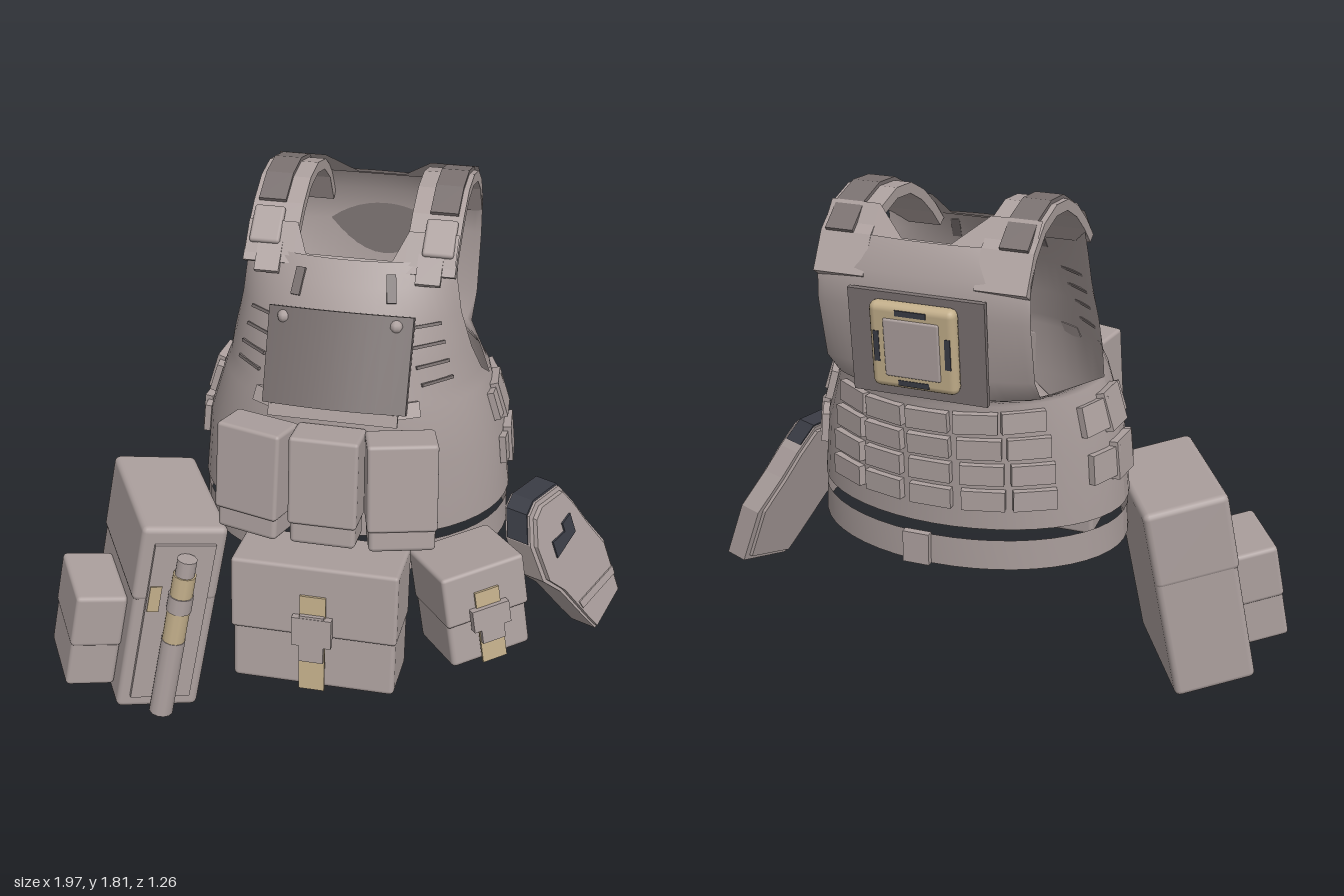
import * as THREE from 'three';
import { RoundedBoxGeometry } from 'three/addons/geometries/RoundedBoxGeometry.js';

const mat = (name, color) => Object.assign(new THREE.MeshStandardMaterial({ color }), { name });

export function createModel() {
  const fabric = mat('fabric', 0xaca09e);
  const shellFabric = mat('shellFabric', 0xa89c9a);
  shellFabric.side = THREE.DoubleSide;
  const dark = mat('darkFabric', 0x7a7170);
  const tan = mat('tanWebbing', 0xc2ae8a);
  const black = mat('blackPlastic', 0x3a3c45);
  const model = new THREE.Group();
  model.name = 'armourVest';

  const group = (parent, name, x = 0, y = 0, z = 0) => {
    const g = new THREE.Group();
    g.name = name;
    g.position.set(x, y, z);
    parent.add(g);
    return g;
  };
  const add = (parent, name, geo, m, x = 0, y = 0, z = 0) => {
    const mesh = new THREE.Mesh(geo, m);
    mesh.name = name;
    mesh.position.set(x, y, z);
    parent.add(mesh);
    return mesh;
  };
  const box = (parent, name, w, h, d, m, x, y, z) => add(parent, name, new THREE.BoxGeometry(w, h, d), m, x, y, z);
  const soft = (parent, name, w, h, d, m, x, y, z, r = 0.016) =>
    add(parent, name, new RoundedBoxGeometry(w, h, d, 2, r), m, x, y, z);

  // Cross-sections: height, half width, edge z, middle z, arc angle
  const H = Math.PI / 2;
  const front = [[0.76, 0.53, -0.12, 0.31, H], [1.0, 0.505, -0.12, 0.3, H], [1.19, 0.445, -0.12, 0.28, H],
    [1.23, 0.425, -0.07, 0.26, 1.4], [1.33, 0.395, -0.02, 0.235, 1.35], [1.46, 0.36, 0, 0.18, 1.2],
    [1.56, 0.345, 0, 0.115, 1.1], [1.63, 0.34, -0.02, 0.06, 0.9]];
  const back = [[0.76, 0.53, -0.12, -0.49, H], [1.0, 0.505, -0.12, -0.5, H], [1.19, 0.445, -0.12, -0.52, H],
    [1.22, 0.34, -0.43, -0.525, 1.0], [1.3, 0.345, -0.5, -0.55, 1.0], [1.5, 0.345, -0.545, -0.585, 0.8],
    [1.62, 0.345, -0.54, -0.575, 0.8], [1.71, 0.34, -0.47, -0.52, 0.7]];
  const rowPoint = ([y, hw, ze, zm, A], t) => new THREE.Vector3(
    hw * Math.sin(t * A) / Math.sin(A), y,
    ze + (zm - ze) * (Math.cos(t * A) - Math.cos(A)) / (1 - Math.cos(A)));
  const surf = (rows, t, y) => {
    let i = 0;
    while (i < rows.length - 2 && y > rows[i + 1][0]) i++;
    const k = (y - rows[i][0]) / (rows[i + 1][0] - rows[i][0]);
    return rowPoint(rows[i].map((v, j) => v + (rows[i + 1][j] - v) * k), t);
  };
  const loft = (lines) => {
    const n = lines[0].length, pos = [], idx = [];
    lines.forEach((l) => l.forEach((p) => pos.push(p.x, p.y, p.z)));
    for (let r = 0; r < lines.length - 1; r++) for (let c = 0; c < n - 1; c++) {
      const a = r * n + c, b = a + n;
      idx.push(a, a + 1, b, a + 1, b + 1, b);
    }
    const g = new THREE.BufferGeometry();
    g.setAttribute('position', new THREE.Float32BufferAttribute(pos, 3));
    g.setIndex(idx);
    g.computeVertexNormals();
    return g;
  };
  // Points along a row from t = a to t = b; the back runs the other way so that faces point outwards
  const arc = (row, a, b, n = 24) => Array.from({ length: n + 1 }, (_, i) => rowPoint(row, a + (b - a) * i / n));

  const vest = group(model, 'vest', 0.05);
  add(vest, 'frontPanel', loft(front.map((r) => arc(r, -1, 1))), shellFabric);
  add(vest, 'backPanel', loft(back.map((r) => arc(r, 1, -1))), shellFabric);
  // Necklines rising to the shoulders
  const collar = (name, y, z, dz, inner) => add(vest, name, loft([0, 1].map((k) =>
    [-0.34, -0.18, -inner, inner, 0.18, 0.34].map((x) => {
      const f = Math.abs(x) > inner ? k : 0.1 * k;
      return new THREE.Vector3(x, y + 0.085 * f, z + dz * f);
    }))), shellFabric);
  collar('backCollar', 1.7, -0.51, 0.08, 0.08);
  collar('frontCollar', 1.62, 0.045, -0.075, 0.14);

  // Inner side linings, meeting in a point
  const apex = new THREE.Vector3(0, 1.33, -0.12);
  for (const s of [-1, 1]) {
    const rim = [...arc(front[0], 0.19 * s, s, 10), ...arc(back[0], s, 0.19 * s, 10)];
    add(vest, 'innerLining', loft([rim, rim.map(() => apex)]), shellFabric);
  }

  // Pads laid on the shell
  const pad = (rows, t, y, w, h, d, m, name) => {
    const p = surf(rows, t, y);
    const side = surf(rows, t + 0.02, y).sub(surf(rows, t - 0.02, y));
    const up = surf(rows, t, y + 0.015).sub(surf(rows, t, y - 0.015)).normalize();
    const n = side.clone().cross(up).normalize();
    if (n.x * p.x + n.z * (p.z + 0.12) < 0) n.negate();
    // Keep the long side level
    const right = new THREE.Vector3(0, 1, 0).cross(n).normalize();
    const g = group(vest, name);
    g.setRotationFromMatrix(new THREE.Matrix4().makeBasis(right, n.clone().cross(right), n));
    g.position.copy(p);
    box(g, name, w, h, d, m, 0, 0, d / 2 - 0.004);
  };
  for (const y of [0.87, 0.96, 1.05, 1.14])
    for (const t of [-0.42, -0.21, 0, 0.21, 0.42]) pad(back, t, y, 0.14, 0.068, 0.024, fabric, 'backWebbing');
  for (const s of [-1, 1]) {
    for (const y of [0.94, 1.1]) {
      pad(front, 0.97 * s, y, 0.12, 0.1, 0.022, fabric, 'sideWebbing');
      pad(back, 0.8 * s, y, 0.13, 0.1, 0.024, fabric, 'sideWebbing');
      pad(back, 0.96 * s, y, 0.12, 0.13, 0.028, fabric, 'sideClip');
    }
    for (const y of [1.27, 1.33, 1.39, 1.45]) pad(front, 0.6 * s, y, 0.12, 0.01, 0.009, dark, 'chestSlot');
    pad(front, 0.36 * s, 1.56, 0.03, 0.09, 0.012, dark, 'chestTab');
    pad(front, 0.35 * s, 1.2, 0.08, 0.05, 0.03, fabric, 'pouchClip');
  }
  pad(front, 0, 1.19, 0.42, 0.04, 0.012, fabric, 'chestBand');

  // Dark chest flap, bent round the chest
  const flap = new THREE.BoxGeometry(0.465, 0.31, 0.03, 10, 1, 1);
  const fp = flap.attributes.position;
  for (let i = 0; i < fp.count; i++) fp.setZ(i, fp.getZ(i) - 0.9 * fp.getX(i) ** 2);
  flap.computeVertexNormals();
  add(vest, 'chestFlap', flap, dark, 0, 1.365, 0.244).rotation.x = -0.4;
  for (const s of [-1, 1]) add(vest, 'flapStud', new THREE.SphereGeometry(0.022, 8, 6), fabric, 0.18 * s, 1.47, 0.175);

  // Back patch with tan framed box
  const patch = group(vest, 'backPatch', 0, 1.4, -0.575);
  patch.rotation.set(0.08, Math.PI, 0, 'YXZ');
  box(patch, 'patchBase', 0.44, 0.34, 0.018, dark, 0, 0, 0);
  soft(patch, 'tanFrame', 0.28, 0.28, 0.05, tan, 0, 0.01, 0.026, 0.024);
  soft(patch, 'frameCentre', 0.18, 0.19, 0.016, fabric, 0, 0.01, 0.049, 0.007);
  for (const s of [-1, 1]) {
    box(patch, 'frameSlot', 0.1, 0.018, 0.006, black, 0, 0.01 + 0.115 * s, 0.05);
    box(patch, 'frameSlot', 0.018, 0.1, 0.006, black, 0.115 * s, 0.01, 0.05);
  }

  // Shoulder straps: side outline (z, y) swept over the width
  const path = [[0.06, 1.6], [-0.01, 1.67], [-0.1, 1.74], [-0.2, 1.79], [-0.31, 1.802], [-0.42, 1.775], [-0.51, 1.71], [-0.575, 1.6]];
  const band = (pts, off, th, w) => {
    const move = (k) => pts.map(([z, y]) => {
      const l = Math.hypot(z + 0.28, y - 1.4);
      return new THREE.Vector2(-z - (z + 0.28) / l * k, y + (y - 1.4) / l * k);
    });
    const g = new THREE.ExtrudeGeometry(new THREE.Shape([...move(off), ...move(off - th).reverse()]), { depth: w, bevelEnabled: false });
    return g.translate(0, 0, -w / 2).rotateY(H);
  };
  for (const s of [-1, 1]) {
    add(vest, 'shoulderStrap', band(path, 0, 0.035, 0.165), fabric, 0.26 * s);
    add(vest, 'shoulderPad', band(path.slice(2, 7), 0.012, 0.016, 0.09), dark, 0.28 * s);
    const buckle = soft(vest, 'strapBuckle', 0.1, 0.13, 0.025, fabric, 0.28 * s, 1.69, -0.025, 0.01);
    buckle.rotation.x = -0.86;
    box(vest, 'strapEnd', 0.08, 0.1, 0.02, fabric, 0.26 * s, 1.61, 0.045).rotation.x = -0.75;
  }

  // Belt
  const belt = [[0.62, 0.53, -0.12, 0.31, H], [0.725, 0.525, -0.12, 0.31, H]];
  add(vest, 'beltFront', loft(belt.map((r) => arc(r, -1, 1))), shellFabric);
  const beltBack = belt.map(([y, hw, ze]) => [y, hw, ze, -0.5, H]);
  add(vest, 'beltBack', loft(beltBack.map((r) => arc(r, 1, -1))), shellFabric);
  box(vest, 'beltBuckle', 0.09, 0.11, 0.025, fabric, 0.05, 0.675, -0.508);

  // Pouch with lid and optional tan strap; origin in the middle of the body
  const pouch = (name, x, y, z, w, h, d, lid, yaw, tilt, strap) => {
    const g = group(model, name, x, y, z);
    g.rotation.set(tilt, yaw, 0, 'YXZ');
    soft(g, 'pouchBody', w - 0.01, h, d - 0.014, fabric, 0, 0, -0.007);
    soft(g, 'pouchLid', w, lid, d, fabric, 0, (h - lid) / 2 + 0.004, 0, 0.012);
    if (strap) {
      box(g, 'tanStrap', 0.085, h * 0.78, 0.009, tan, 0, -h * 0.11, d / 2 + 0.004);
      box(g, 'strapClip', 0.13, h * 0.23, 0.025, fabric, 0, 0.0, d / 2 + 0.012);
      box(g, 'strapClip', 0.08, h * 0.38, 0.022, fabric, 0, -0.025, d / 2 + 0.012);
    }
    return g;
  };
  for (const s of [-1, 0, 1])
    pouch('magazinePouch', 0.05 + 0.238 * s, 0.975, 0.37 - 0.02 * Math.abs(s), 0.225, 0.37, 0.14, 0.3, 0.26 * s, -0.12, false);
  pouch('centrePouch', 0.052, 0.56, 0.475, 0.545, 0.44, 0.23, 0.25, 0, -0.1, true);
  pouch('sidePouch', 0.525, 0.6, 0.34, 0.29, 0.33, 0.26, 0.18, 0.6, -0.14, true).rotation.z = 0.1;

  // Large hip pouch with outer pocket and baton
  const hip = group(model, 'hipPouch', -0.61, 0.388, 0.185);
  hip.rotation.set(0, 0.52, -0.2, 'YXZ');
  soft(hip, 'hipBody', 0.29, 0.73, 0.5, fabric, 0, 0, 0, 0.022);
  soft(hip, 'hipLid', 0.296, 0.29, 0.506, fabric, -0.003, 0.223, 0, 0.022);
  soft(hip, 'outerPocket', 0.17, 0.36, 0.29, fabric, -0.23, -0.14, 0.03);
  soft(hip, 'pocketLid', 0.178, 0.2, 0.3, fabric, -0.23, -0.055, 0.03);
  box(hip, 'batonBacking', 0.21, 0.62, 0.016, fabric, 0, 0, 0.258);
  const baton = group(hip, 'baton', 0.0, -0.02, 0.3);
  const rod = (name, r, h, m, y) => add(baton, name, new THREE.CylinderGeometry(r, r, h, 12), m, 0, y, 0);
  rod('batonSleeve', 0.042, 0.3, fabric, -0.17);
  rod('batonGrip', 0.04, 0.26, tan, 0.11);
  rod('batonBand', 0.044, 0.06, fabric, 0.13);
  rod('batonCap', 0.034, 0.06, fabric, 0.27);
  box(hip, 'tanTab', 0.04, 0.1, 0.014, tan, -0.08, 0.1, 0.264);

  // Holster: side outline (z, y) extruded, then turned and leaned outwards
  const lean = (pts, t0, t1) => {
    const g = new THREE.ExtrudeGeometry(new THREE.Shape(pts.map(([z, y]) => new THREE.Vector2(-z, y))),
      { depth: t1 - t0, bevelEnabled: false });
    const p = g.attributes.position;
    for (let i = 0; i < p.count; i++) {
      const z = -p.getX(i), y = p.getY(i), t = p.getZ(i) + t0;
      p.setXYZ(i, 0.695 - 0.42 * (z + 0.02) + 0.33 * (0.84 - y) + t * 0.9, y, z + t * 0.4);
    }
    g.computeVertexNormals();
    return g;
  };
  const holster = group(model, 'holster');
  const outline = [[0.17, 0.72], [0.13, 0.81], [0.08, 0.835], [-0.06, 0.825], [-0.11, 0.74], [-0.15, 0.65], [-0.215, 0.53],
    [-0.22, 0.33], [-0.03, 0.28], [0.01, 0.35], [0.09, 0.5], [0.16, 0.58]];
  add(holster, 'holsterBody', lean(outline, -0.05, 0.045), fabric);
  const inset = outline.map(([z, y]) => [-0.02 + (z + 0.02) * 0.9, 0.56 + (y - 0.56) * 0.94]);
  add(holster, 'holsterFace', lean(inset, 0.045, 0.06), fabric);
  add(holster, 'holsterBack', lean(inset, -0.065, -0.05), fabric);
  add(holster, 'holsterMouth', lean([[0.172, 0.725], [0.132, 0.815], [0.08, 0.841], [-0.062, 0.831], [-0.1, 0.765],
    [-0.09, 0.765], [-0.055, 0.82], [0.08, 0.83], [0.125, 0.805], [0.16, 0.72]], -0.042, 0.037), black);
  add(holster, 'holsterPatch', lean([[0.075, 0.69], [0, 0.69], [0, 0.72], [-0.055, 0.73], [-0.055, 0.66], [0.075, 0.63]],
    0.059, 0.066), black);
  add(holster, 'holsterBand', lean([[0.03, 0.43], [-0.2, 0.44], [-0.2, 0.41], [0.02, 0.4]], 0.055, 0.064), fabric);
  return model;
}
